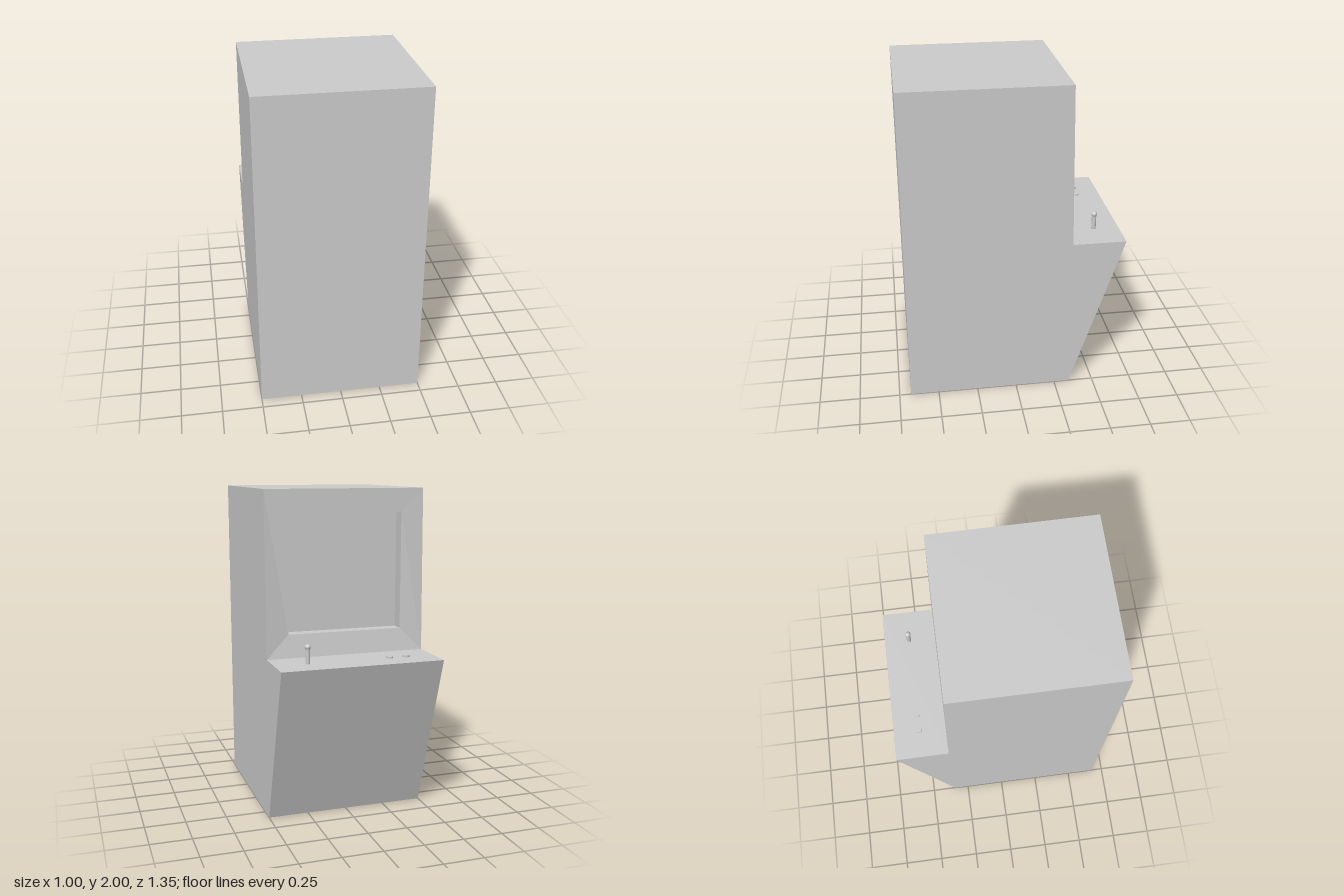
import * as THREE from 'three';

const W = 0.5; // half width of the cabinet

// Flat-shaded geometry from four-cornered faces (corners counter-clockwise from outside)
function quads(list) {
  const pos = [];
  for (const [a, b, c, d] of list) pos.push(...a, ...b, ...c, ...a, ...c, ...d);
  const g = new THREE.BufferGeometry();
  g.setAttribute('position', new THREE.Float32BufferAttribute(pos, 3));
  g.computeVertexNormals();
  return g;
}

// Rectangle facing -z
const rect = (w, y0, y1, z0, z1 = z0) => [[w, y0, z0], [-w, y0, z0], [-w, y1, z1], [w, y1, z1]];

// Faces joining two rectangles
const ring = (a, b) => a.map((p, i) => [p, a[(i + 1) % 4], b[(i + 1) % 4], b[i]]);

export function createModel() {
  const group = new THREE.Group();
  const material = new THREE.MeshStandardMaterial({ color: 0xcccccc });
  const add = (name, geometry, x = 0, y = 0, z = 0) => {
    const mesh = new THREE.Mesh(geometry, material);
    mesh.name = name;
    mesh.position.set(x, y, z);
    group.add(mesh);
  };

  // Side profile as [z, y]
  const profile = [[0.677, 0], [0.677, 2], [-0.322, 2], [-0.345, 1], [-0.675, 1], [-0.345, 0]];

  // Wall panels along the profile; the upper segment is left open for the screen surround
  const names = ['rearPanel', 'topPanel', null, 'controlDeck', 'lowerPanel', 'bottomPanel'];
  profile.forEach(([z0, y0], i) => {
    if (!names[i]) return;
    const [z1, y1] = profile[(i + 1) % profile.length];
    add(names[i], quads([[[-W, y0, z0], [W, y0, z0], [W, y1, z1], [-W, y1, z1]]]));
  });

  // Side panels
  for (const s of [1, -1]) {
    const shape = new THREE.Shape(profile.map(([z, y]) => new THREE.Vector2(-s * z, y)));
    add(s > 0 ? 'leftSide' : 'rightSide', new THREE.ShapeGeometry(shape).rotateY(s * Math.PI / 2), s * W);
  }

  // Screen surround, recess and screen
  const outer = rect(W, 1, 2, -0.345, -0.322);
  const opening = rect(0.36, 1.14, 1.86, -0.322);
  const deep = rect(0.36, 1.14, 1.86, -0.242);
  add('screenSurround', quads(ring(outer, opening)));
  add('screenRecess', quads(ring(opening, deep)));
  add('screen', quads([deep]));

  // Joystick and buttons
  add('joystickShaft', new THREE.CylinderGeometry(0.014, 0.014, 0.1, 16), 0.298, 1.05, -0.517);
  add('joystickBall', new THREE.SphereGeometry(0.018, 16, 12), 0.298, 1.1, -0.517);
  for (const x of [-0.322, -0.216]) {
    add('button', new THREE.CylinderGeometry(0.021, 0.021, 0.01, 24), x, 1.005, -0.517);
  }
  return group;
}
